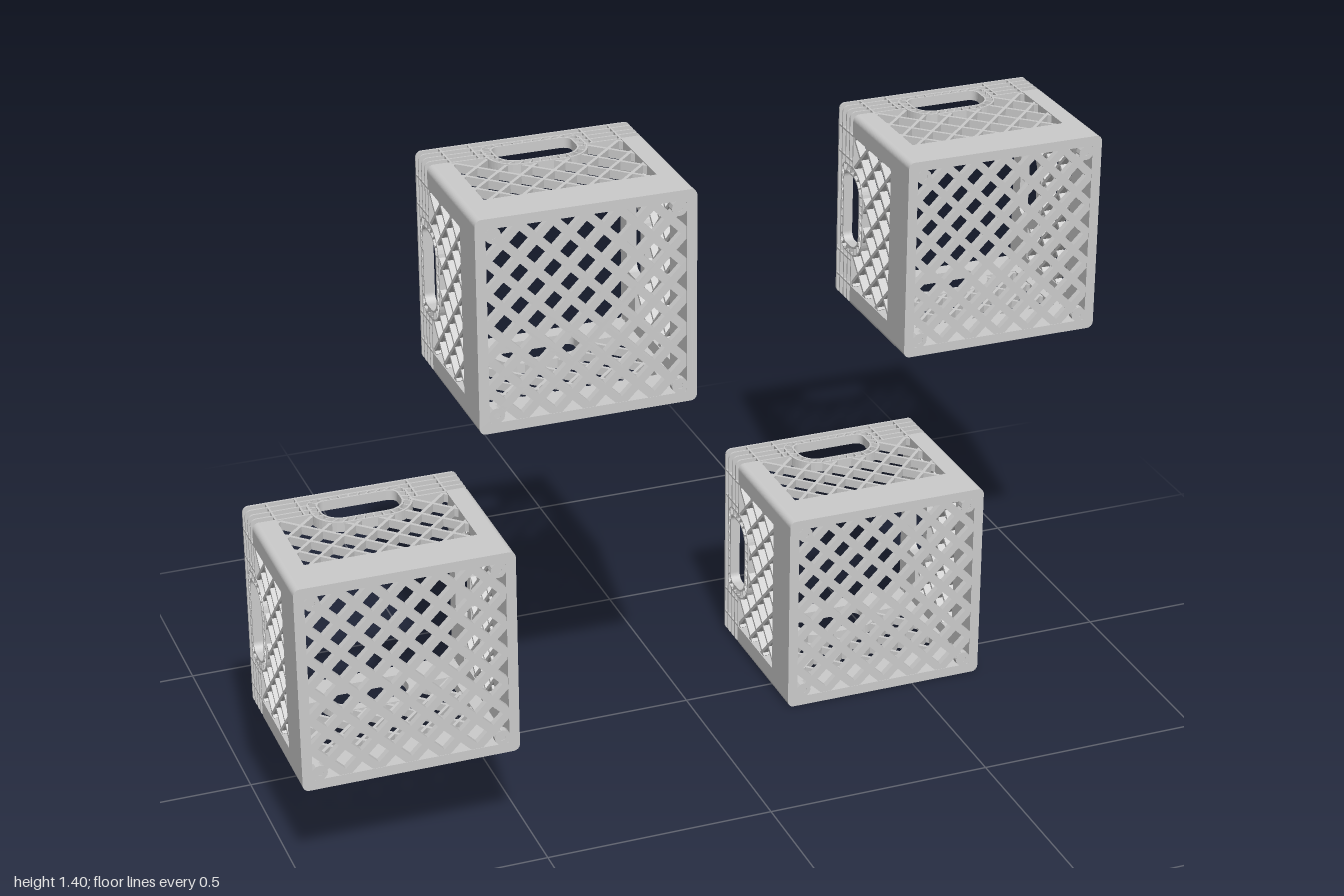
import * as THREE from 'three';
import { mergeGeometries } from 'three/addons/utils/BufferGeometryUtils.js';

const H = 0.231;      // half width of a crate
const IN = 0.209;     // inner face of the walls
const REC = 0.218;    // recessed outer face between the ribs
const D = 0.385;      // depth from open rim (-z) to base (+z)
const PITCH = 0.0697; // lattice diamond size
const BASE = 0.095;   // solid band next to the base
const RIM = 0.085;    // ribbed band next to the opening
const POST = 0.05;    // corner post width

const material = new THREE.MeshStandardMaterial({ color: 0xcccccc });

// Rounded rectangle with separate radii for the lower and upper corners.
function roundedRect(x0, y0, x1, y1, rLow, rHigh = rLow, Type = THREE.Shape) {
  const s = new Type();
  s.moveTo(x0 + rLow, y0);
  s.lineTo(x1 - rLow, y0);
  s.absarc(x1 - rLow, y0 + rLow, rLow, -Math.PI / 2, 0);
  s.lineTo(x1, y1 - rHigh);
  s.absarc(x1 - rHigh, y1 - rHigh, rHigh, 0, Math.PI / 2);
  s.lineTo(x0 + rHigh, y1);
  s.absarc(x0 + rHigh, y1 - rHigh, rHigh, Math.PI / 2, Math.PI);
  s.lineTo(x0, y0 + rLow);
  s.absarc(x0 + rLow, y0 + rLow, rLow, Math.PI, Math.PI * 1.5);
  return s;
}

const extrude = (shape, depth) =>
  new THREE.ExtrudeGeometry(shape, { depth, bevelEnabled: false, curveSegments: 6 });

// Square tube running along z.
function squareRing(outer, inner, z, depth) {
  const s = roundedRect(-outer, -outer, outer, outer, 0.014);
  s.holes.push(roundedRect(-inner, -inner, inner, inner, 0.006, 0.006, THREE.Path));
  return extrude(s, depth).translate(0, 0, z);
}

// L-shaped corner piece running along z.
function cornerL(outer, arm, z, depth) {
  const r = 0.014, e = H - arm, s = new THREE.Shape();
  s.moveTo(e, IN);
  s.lineTo(IN, IN);
  s.lineTo(IN, e);
  s.lineTo(outer, e);
  s.lineTo(outer, outer - r);
  s.absarc(outer - r, outer - r, r, 0, Math.PI / 2);
  s.lineTo(e, outer);
  s.closePath();
  return extrude(s, depth).translate(0, 0, z);
}

function box(w, h, d, x, y, z) {
  return new THREE.BoxGeometry(w, h, d).toNonIndexed().translate(x, y, z);
}

// Crossing diagonal strands, kept only where inside(x, y) is true.
function lattice(inside, width, thick, cx, cy, reach) {
  const parts = [], step = 0.002, gap = PITCH / Math.SQRT2;
  const n = Math.ceil(reach / gap);
  for (const a of [Math.PI / 4, -Math.PI / 4]) {
    const c = Math.cos(a), s = Math.sin(a);
    for (let i = -n; i <= n; i++) {
      const ox = cx - s * i * gap, oy = cy + c * i * gap;
      let start = null;
      for (let t = -reach; t <= reach; t += step) {
        const hit = inside(ox + c * t, oy + s * t);
        if (hit && start === null) start = t;
        if (!hit && start !== null) {
          const m = (start + t) / 2;
          parts.push(box(t - start + 0.004, width, thick, 0, 0, 0)
            .rotateZ(a).translate(ox + c * m, oy + s * m, 0));
          start = null;
        }
      }
    }
  }
  return mergeGeometries(parts);
}

// Rounded outline of the hand hole, grown by g; x across the wall, y from the rim.
const grip = (g, Type) =>
  roundedRect(-0.085 - g, 0.037 - Math.min(g, 0.015), 0.085 + g, 0.12 + g,
    0.018 + g * 0.5, 0.04 + g, Type);

function gripRing(gOut, gIn, depth) {
  const s = grip(gOut);
  s.holes.push(grip(gIn, THREE.Path));
  return extrude(s, depth);
}

// Stand a flat (across, from rim) piece up as the top wall, with its outer face at y.
const lay = (g, y) => g.rotateX(Math.PI / 2).translate(0, y, -D / 2);

function wallParts() {
  const z = v => v - D / 2;
  // Side lattice, stopping at the hand hole surround
  const strands = lattice((x, y) => {
    if (Math.abs(x) > H - POST || y < RIM || y > D - BASE) return false;
    const dx = Math.max(Math.abs(x) - 0.045, 0), dy = Math.max(y - 0.08, 0);
    return Math.hypot(dx, dy) > 0.06;
  }, 0.007, 0.018, 0, 0.19, 0.4);

  // Recessed rim wall around the hand hole
  const rim = [box(2 * IN, REC - IN, 0.037, 0, (REC + IN) / 2, z(0.0185))];
  for (const s of [-1, 1]) {
    rim.push(box(IN - 0.088, REC - IN, RIM - 0.037, s * (IN + 0.088) / 2, (REC + IN) / 2, z((RIM + 0.037) / 2)));
    // Cross ribs linking the long ribs
    for (const x of [H - POST, 0.12]) rim.push(box(0.004, H - IN, RIM, s * x, (H + IN) / 2, z(RIM / 2)));
  }

  // Hand hole surround: plate, two lips and short radial ribs
  const handle = [
    lay(gripRing(0.022, 0, REC - IN), REC),
    lay(gripRing(0.004, 0, H - IN), H),
    lay(gripRing(0.022, 0.018, H - IN), H),
  ];
  const a = grip(0.002).getSpacedPoints(26), b = grip(0.02).getSpacedPoints(26);
  for (let i = 0; i < 26; i++) {
    const dx = b[i].x - a[i].x, dy = b[i].y - a[i].y;
    handle.push(lay(box(Math.hypot(dx, dy), 0.003, H - IN, 0, 0, 0).rotateZ(Math.atan2(dy, dx))
      .translate((a[i].x + b[i].x) / 2, (a[i].y + b[i].y) / 2, 0), (H + IN) / 2));
  }
  return {
    sideLattice: lay(strands, (H + IN) / 2),
    rimWall: mergeGeometries(rim),
    handle: mergeGeometries(handle),
  };
}

function createCrate() {
  const crate = new THREE.Group();
  const add = (name, geometry, parent = crate) => {
    const mesh = new THREE.Mesh(geometry, material);
    mesh.name = name;
    parent.add(mesh);
    return mesh;
  };

  // Solid band around the base, and full ribs at the open edge
  add('baseBand', squareRing(H, IN, D / 2 - BASE, BASE));
  add('rimLip', squareRing(H, IN, -D / 2, 0.005));
  add('rimRib', squareRing(H, IN, -D / 2 + 0.02, 0.004));

  // Base lattice with small bosses in the corners
  const base = lattice((x, y) => Math.max(Math.abs(x), Math.abs(y)) < IN, 0.018, 0.014, 0, 0, 0.32);
  add('baseLattice', base.translate(0, 0, D / 2 - 0.008));
  const boss = new THREE.Shape().absarc(0, 0, 0.017, 0, Math.PI * 2);
  boss.holes.push(new THREE.Path().absarc(0, 0, 0.007, 0, Math.PI * 2));

  // Four walls and four corners, turned about the depth axis
  const wall = wallParts();
  const corner = mergeGeometries([
    cornerL(H, POST, -D / 2 + RIM, D - RIM - BASE),
    cornerL(REC, POST, -D / 2, RIM),
    ...[0.041, 0.061, RIM - 0.004].map(v => cornerL(H, H - 0.1, -D / 2 + v, 0.004)),
  ]);
  const bossGeometry = extrude(boss, 0.016).translate(0.194, 0.194, D / 2 - 0.016);
  for (let k = 0; k < 4; k++) {
    const side = new THREE.Group();
    side.name = 'wall';
    side.rotation.z = k * Math.PI / 2;
    for (const [name, geometry] of Object.entries(wall)) add(name, geometry, side);
    add('cornerPost', corner, side);
    add('cornerBoss', bossGeometry, side);
    crate.add(side);
  }
  return crate;
}

export function createModel() {
  const model = new THREE.Group();
  model.name = 'crates';
  const crate = createCrate();
  const places = [[-0.769, 0.47, 0.255], [-0.356, 1.17, 0.193], [0.43, 0.231, -0.082], [0.767, 0.956, -0.252]];
  for (const p of places) {
    const copy = crate.clone();
    copy.name = 'crate';
    copy.position.set(...p);
    model.add(copy);
  }
  return model;
}
